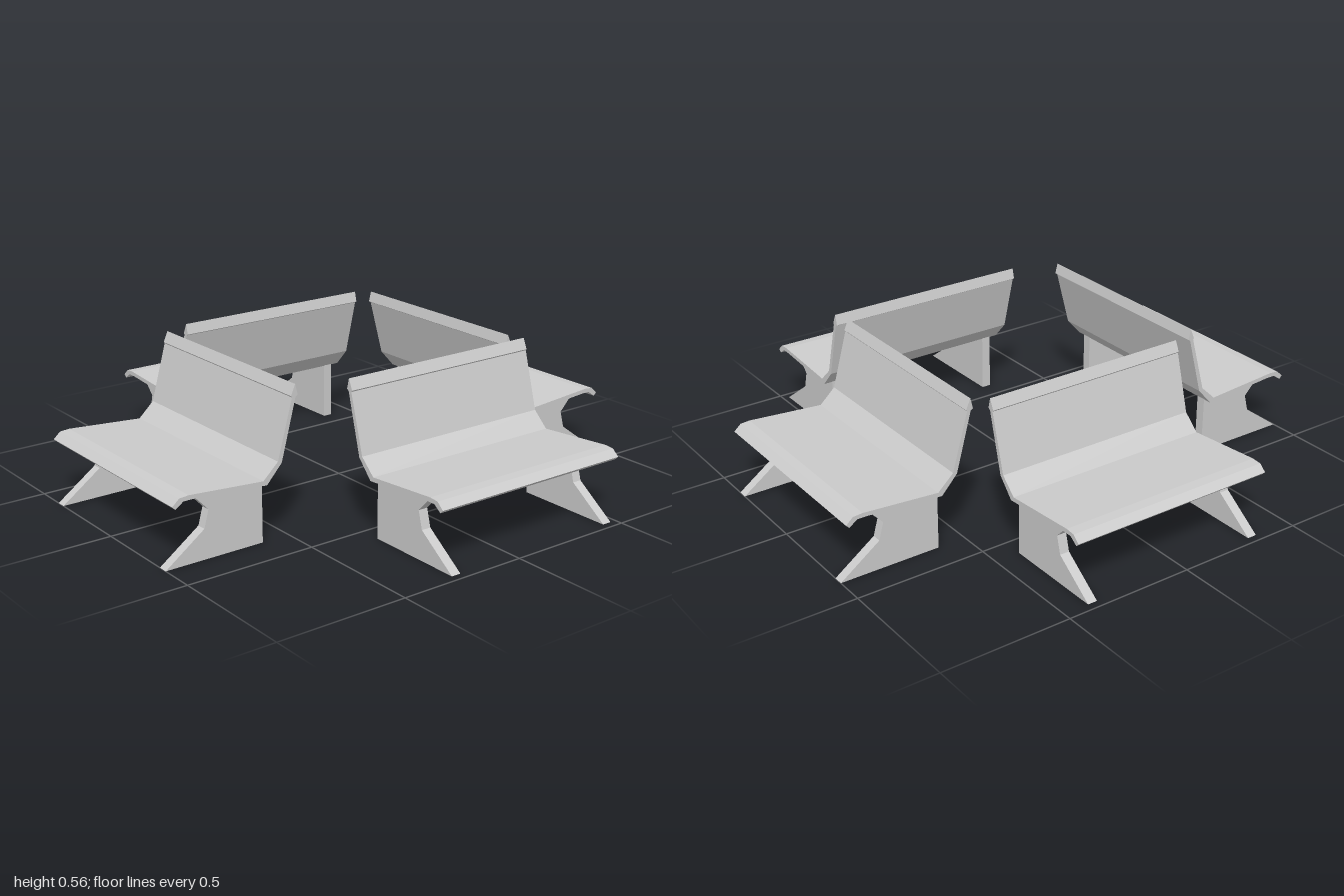
import * as THREE from 'three';

const LENGTH = 0.82;
const LEG_WIDTH = 0.037;
const LEG_OFFSET = 0.357;

// Side profiles: first value points outward from the centre, second is height
const SEAT_PROFILE = [
  [0.945, 0.224], [0.957, 0.236], [0.93, 0.26], [0.893, 0.263], [0.597, 0.241],
  [0.536, 0.298], [0.475, 0.515], [0.479, 0.52], [0.461, 0.56], [0.451, 0.52],
  [0.46, 0.515], [0.52, 0.291], [0.582, 0.223], [0.878, 0.246], [0.914, 0.246],
];
const LEG_PROFILE = [
  [0.97, 0], [0.815, 0.112], [0.797, 0.178], [0.865, 0.25], [0.58, 0.23], [0.58, 0],
];

const material = new THREE.MeshStandardMaterial({ color: 0xcccccc, flatShading: true });

// Extrude a side profile to a slab centred on z
function slab(profile, width) {
  const shape = new THREE.Shape(profile.map(([u, y]) => new THREE.Vector2(u, y)));
  const geometry = new THREE.ExtrudeGeometry(shape, { depth: width, bevelEnabled: false });
  return geometry.translate(0, 0, -width / 2);
}

const seatGeometry = slab(SEAT_PROFILE, LENGTH);
const legGeometry = slab(LEG_PROFILE, LEG_WIDTH);

function createBench(name) {
  const bench = new THREE.Group();
  bench.name = name;

  // Folded seat and backrest in one sheet
  const seat = new THREE.Mesh(seatGeometry, material);
  seat.name = 'seatAndBackrest';
  bench.add(seat);

  // Two notched slab legs
  for (const side of [-1, 1]) {
    const leg = new THREE.Mesh(legGeometry, material);
    leg.name = side < 0 ? 'legA' : 'legB';
    leg.position.z = side * LEG_OFFSET;
    bench.add(leg);
  }
  return bench;
}

export function createModel() {
  const model = new THREE.Group();
  model.name = 'benchCircle';

  // Four benches back to back, facing outward: name, turn, x, z
  const layout = [
    ['leftBench', 0, 0, -0.1],
    ['frontBench', -Math.PI / 2, -0.01, 0.03],
    ['rightBench', Math.PI, 0, -0.027],
    ['backBench', Math.PI / 2, -0.013, -0.03],
  ];
  for (const [name, turn, x, z] of layout) {
    const bench = createBench(name);
    bench.rotation.y = turn;
    bench.position.set(x, 0, z);
    model.add(bench);
  }
  return model;
}
